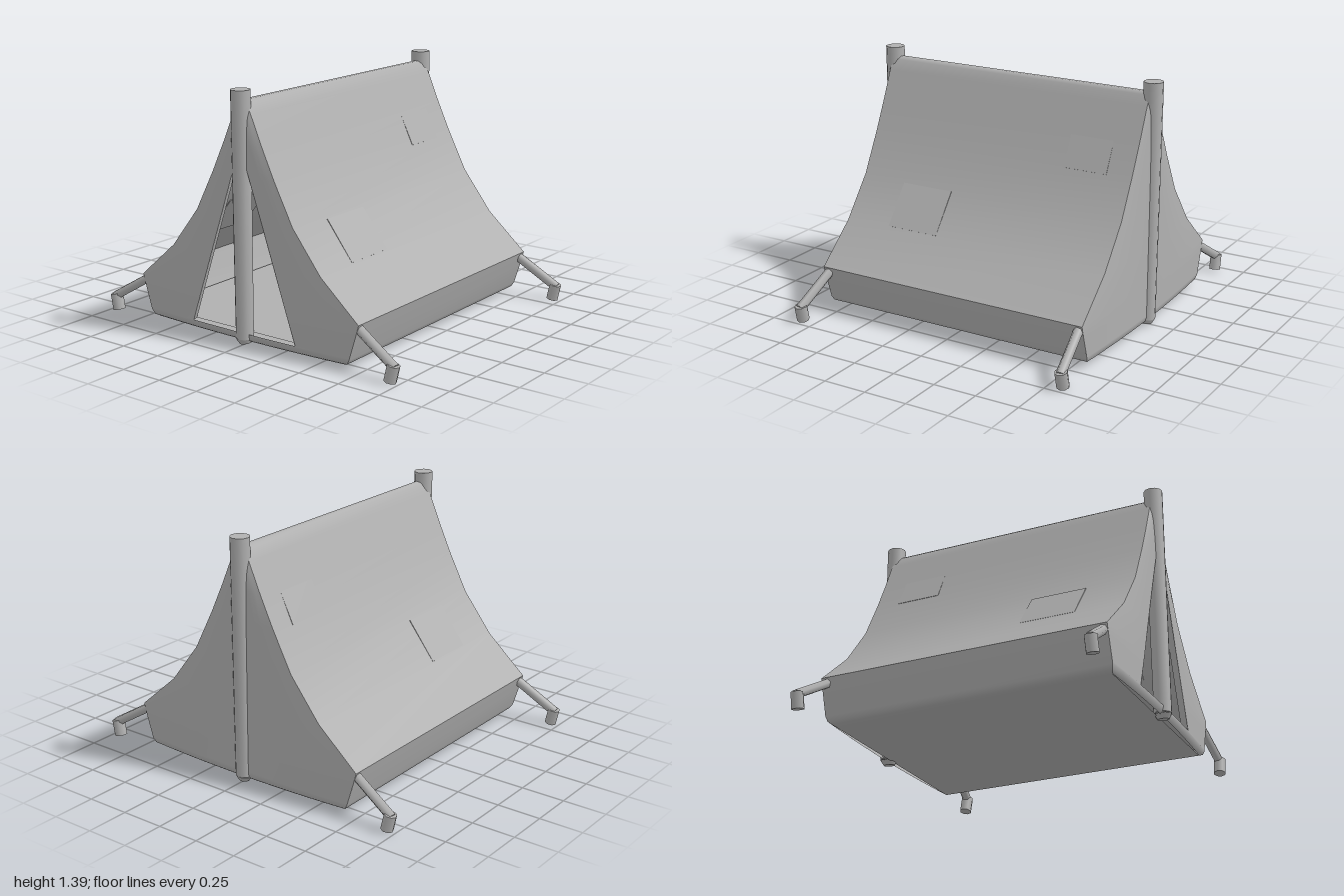
import * as THREE from 'three';

const canvasGrey = new THREE.MeshStandardMaterial({ color: 0xb0b0b0, side: THREE.DoubleSide });
canvasGrey.name = 'canvas grey';

// Half outline of the tent, from the ground to the ridge: [half width, height]
const LOWER = [[0.65, 0.025], [0.675, 0.035], [0.69, 0.06], [0.73, 0.19], [0.75, 0.26]];
const ROOF = [[0.75, 0.26], [0.51, 0.47], [0.33, 0.70], [0.21, 0.93], [0.13, 1.10],
  [0.06, 1.26], [0.03, 1.32], [0.012, 1.335]];
const END = 0.83, BULGE = 0.025, APEX = 1.10, SILL = 0.07;

function add(group, name, geometry) {
  const mesh = new THREE.Mesh(geometry, canvasGrey);
  mesh.name = name;
  group.add(mesh);
  return mesh;
}

// Smooth surface through equal rows of points
function loft(rows) {
  const n = rows[0].length, index = [];
  for (let i = 0; i < rows.length - 1; i++) {
    for (let j = 0; j < n - 1; j++) {
      const a = i * n + j, d = a + n;
      index.push(a, a + 1, d + 1, a, d + 1, d);
    }
  }
  const g = new THREE.BufferGeometry();
  g.setAttribute('position', new THREE.Float32BufferAttribute(rows.flat(2), 3));
  g.setIndex(index);
  g.computeVertexNormals();
  return g;
}

const inset = (y) => (y < 0.03 ? 0.02 : y < 0.05 ? 0.007 : 0);
const along = ([x, y]) => [[x, y, END - inset(y)], [x, y, -END + inset(y)]];
const flip = (pts) => pts.map(([x, y]) => [-x, y]).reverse();
const wallZ = (x, y, w) => END - inset(y) + BULGE * (1 - (x / w) ** 2);
const doorHalf = (y) => Math.max(0, 0.355 * (APEX - y) / (APEX - SILL));

// Half of an end wall; the doorway is cut from the middle
function wallHalf(side, hasDoor) {
  const rows = [];
  const row = (w, y, open) => {
    const r = [];
    for (let k = 0; k <= 6; k++) {
      const x = open + (w - open) * k / 6;
      r.push([side * x, y, wallZ(x, y, w)]);
    }
    rows.push(side > 0 ? r : r.reverse());
  };
  for (const [w, y] of [...LOWER, ...ROOF.slice(1)]) {
    row(w, y, hasDoor && y > SILL ? doorHalf(y) : 0);
    if (y === 0.06) {
      row(0.693, SILL, 0);
      if (hasDoor) row(0.693, SILL, doorHalf(SILL));
    }
  }
  return loft(rows);
}

// Straight round bar between two points
function bar(from, to, r0, r1, sides) {
  const a = new THREE.Vector3(...from), b = new THREE.Vector3(...to);
  const dir = b.clone().sub(a);
  const g = new THREE.CylinderGeometry(r1, r0, dir.length(), sides);
  g.applyQuaternion(new THREE.Quaternion().setFromUnitVectors(
    new THREE.Vector3(0, 1, 0), dir.clone().normalize()));
  const m = a.add(b).multiplyScalar(0.5);
  return g.translate(m.x, m.y, m.z);
}

export function createModel() {
  const tent = new THREE.Group();
  tent.name = 'tent';

  // Curved roof and the tucked-in base
  add(tent, 'roof', loft([...ROOF, ...flip(ROOF)].map(along)));
  const under = [[-0.6, 0.025], [0.6, 0.025]];
  add(tent, 'base', loft([...flip(LOWER), ...under, ...LOWER].map(along)));
  const floor = new THREE.PlaneGeometry(1.36, 1.64).rotateX(-Math.PI / 2);
  add(tent, 'innerFloor', floor).position.y = 0.075;

  // End walls: doorway at the front, closed at the back
  for (const isFront of [true, false]) {
    const wall = new THREE.Group();
    wall.name = isFront ? 'frontWall' : 'backWall';
    for (const s of [1, -1]) {
      add(wall, 'wallHalf', wallHalf(s, isFront));
      if (!isFront) continue;
      // Hem along the doorway edge
      const hem = [SILL, 0.26, 0.47, 0.7, 0.93, APEX].map((y) => {
        const x = doorHalf(y), w = 0.75 * (1.45 - y) / 1.2;
        const z = wallZ(x, y, Math.max(w, x + 0.1));
        return [[s * x, y, z], [s * (x + 0.012), y, z - 0.04]];
      });
      add(wall, 'doorHem', loft(hem));
    }
    if (!isFront) wall.rotation.y = Math.PI;
    tent.add(wall);
  }

  // Upright poles
  for (const z of [0.835, -0.835]) {
    add(tent, 'pole', bar([0, 0.04, z], [-0.005, 1.39, z], 0.049, 0.054, 12));
    add(tent, 'poleFoot', bar([0.005, 0.01, z], [0, 0.04, z], 0.032, 0.049, 12));
  }

  // Guy arms and pegs at the four corners
  for (const sx of [1, -1]) {
    for (const sz of [1, -1]) {
      add(tent, 'guyArm', bar([sx * 0.72, 0.24, sz * 0.80], [sx * 0.975, 0.085, sz * 0.83], 0.027, 0.027, 6));
      add(tent, 'peg', bar([sx * 0.948, 0.01, sz * 0.832], [sx * 0.968, 0.10, sz * 0.83], 0.035, 0.035, 8));
    }
  }

  // Thin square patches lying on the roof
  const patches = [
    { low: [0.50, 0.478], high: [0.338, 0.69], z: 0.39, length: 0.32 },
    { low: [0.22, 0.907], high: [0.125, 1.10], z: -0.55, length: 0.26 },
  ];
  for (const { low, high, z, length } of patches) {
    for (const s of [1, -1]) {
      const dx = high[0] - low[0], dy = high[1] - low[1];
      const plate = new THREE.BoxGeometry(0.008, Math.hypot(dx, dy), length);
      const patch = add(tent, 'patch', plate);
      patch.position.set(s * (low[0] + high[0]) / 2, (low[1] + high[1]) / 2, z);
      patch.rotation.z = s * Math.atan2(-dx, dy);
    }
  }
  return tent;
}
